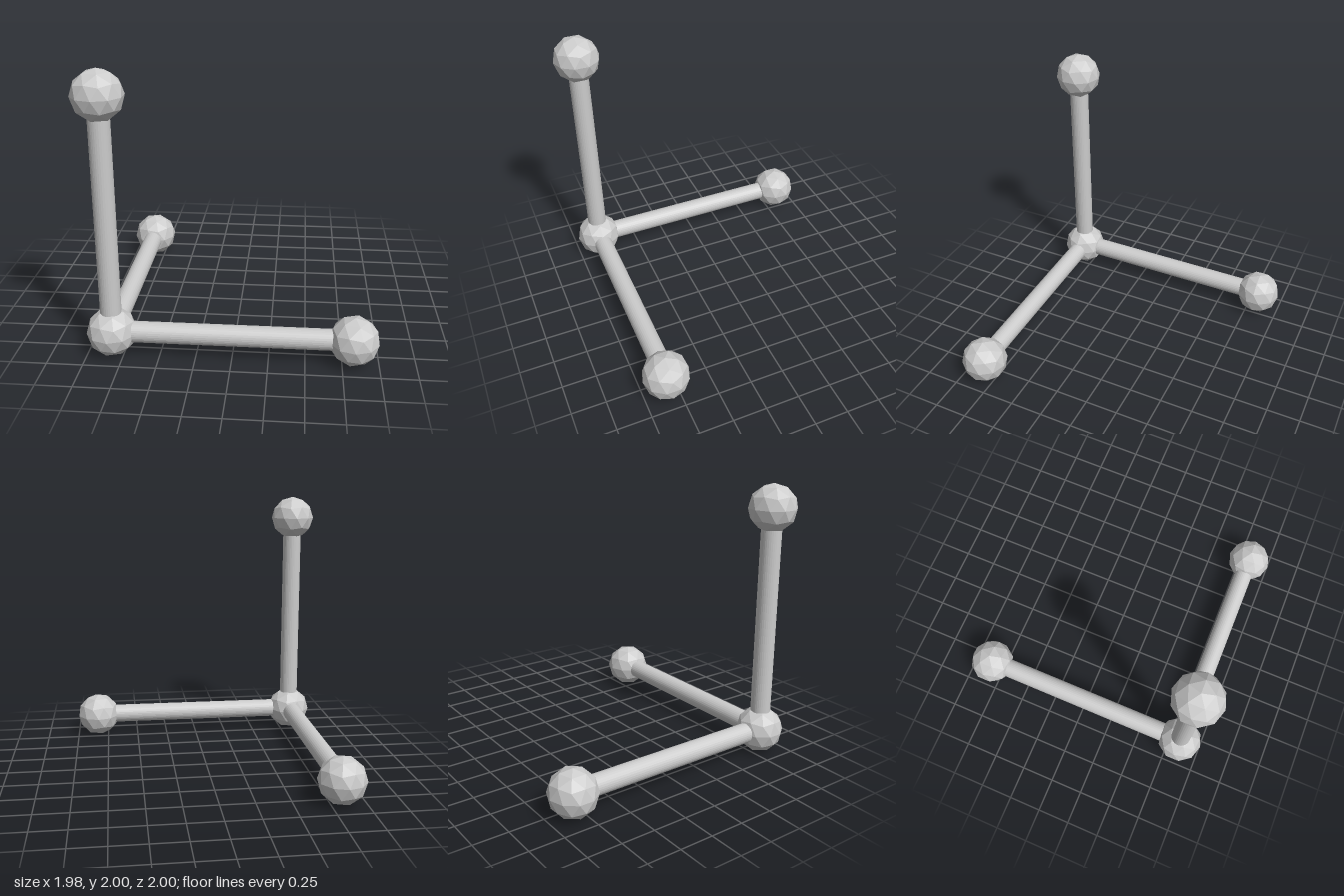
import * as THREE from 'three';

const C = 0.828;       // distance of the ball centres from the middle
const BALL_R = 0.172;
const ROD_R = 0.073;

export function createModel() {
  const model = new THREE.Group();
  model.name = 'axisFrame';
  const material = new THREE.MeshStandardMaterial({ color: 0xcccccc, flatShading: true });

  // Faceted ball, turned so that one corner points straight up
  const ballGeometry = new THREE.IcosahedronGeometry(BALL_R, 1);
  ballGeometry.rotateZ(-Math.atan(2 / (1 + Math.sqrt(5))));
  const rodGeometry = new THREE.CylinderGeometry(ROD_R, ROD_R, 2 * C, 32);

  const corner = new THREE.Vector3(-C, BALL_R, C);
  const up = new THREE.Vector3(0, 1, 0);

  const addBall = (name, position) => {
    const ball = new THREE.Mesh(ballGeometry, material);
    ball.name = name;
    ball.position.copy(position);
    model.add(ball);
  };

  addBall('cornerBall', corner);

  // Three rods at right angles, each ending in a ball
  const arms = [
    ['side', new THREE.Vector3(1, 0, 0)],
    ['upright', new THREE.Vector3(0, 1, 0)],
    ['rear', new THREE.Vector3(0, 0, -1)],
  ];
  for (const [name, direction] of arms) {
    const rod = new THREE.Mesh(rodGeometry, material);
    rod.name = name + 'Rod';
    rod.quaternion.setFromUnitVectors(up, direction);
    rod.position.copy(corner).addScaledVector(direction, C);
    model.add(rod);
    addBall(name + 'Ball', corner.clone().addScaledVector(direction, 2 * C));
  }
  return model;
}
